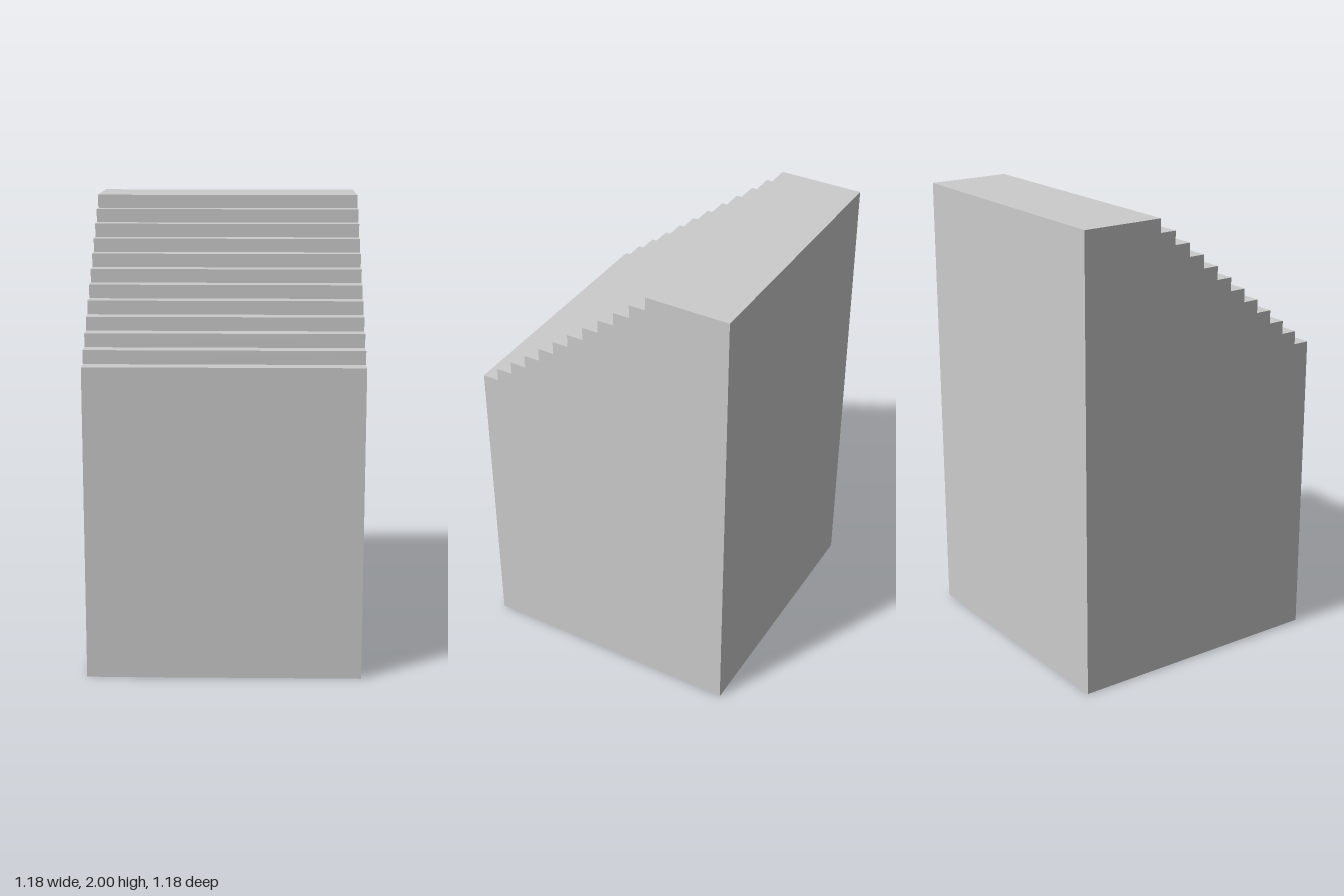
import * as THREE from 'three';

const HALF = 10 / 17;       // half of the square footprint
const HEIGHT = 2;
const STEPS = 11;
const RISE = 1 / 17;
const TREAD = 1.25 / 17;

export function createModel() {
  const group = new THREE.Group();
  group.name = 'steppedBlock';

  // Side profile: u runs towards the front, v runs up
  const profile = new THREE.Shape();
  profile.moveTo(-HALF, 0);
  profile.lineTo(HALF, 0);

  // Stairs climb from the front face to the flat top at the back
  let u = HALF;
  let v = HEIGHT - STEPS * RISE;
  profile.lineTo(u, v);
  for (let i = 0; i < STEPS; i++) {
    u -= TREAD;
    profile.lineTo(u, v);
    v += RISE;
    profile.lineTo(u, v);
  }
  profile.lineTo(-HALF, HEIGHT);
  profile.closePath();

  // Extrude across the width, then turn the profile so u becomes +z
  const geometry = new THREE.ExtrudeGeometry(profile, { depth: 2 * HALF, bevelEnabled: false });
  geometry.translate(0, 0, -HALF);
  geometry.rotateY(-Math.PI / 2);

  const block = new THREE.Mesh(geometry, new THREE.MeshStandardMaterial({ color: 0xcccccc }));
  block.name = 'blockWithStairs';
  group.add(block);
  return group;
}
